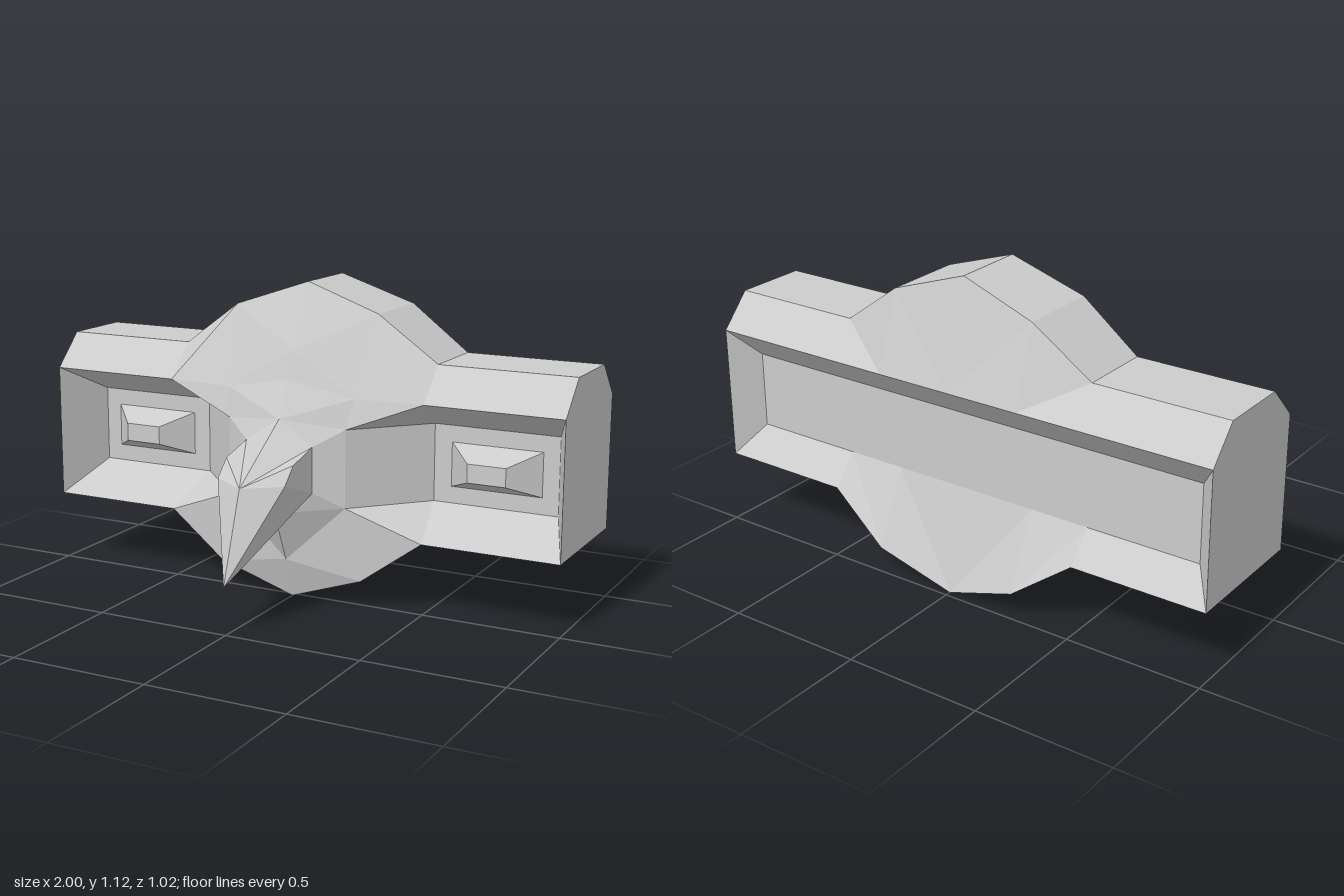
import * as THREE from 'three';

const material = new THREE.MeshStandardMaterial({ color: 0xcccccc, flatShading: true });

// Faceted mesh from polygons on the +x half, mirrored to -x
function mirroredMesh(name, polygons) {
  const pos = [];
  for (const poly of polygons) {
    for (let i = 1; i < poly.length - 1; i++) {
      const [a, b, c] = [poly[0], poly[i], poly[i + 1]];
      pos.push(...a, ...b, ...c);
      for (const p of [a, c, b]) pos.push(-p[0], p[1], p[2]);
    }
  }
  const geo = new THREE.BufferGeometry();
  geo.setAttribute('position', new THREE.Float32BufferAttribute(pos, 3));
  geo.computeVertexNormals();
  const mesh = new THREE.Mesh(geo, material);
  mesh.name = name;
  return mesh;
}

// Underside, grooved back and top: from bottom front, round the back, to top front
function section(x, yBottom, yTop, bulge, grooveX = x) {
  return [
    [x, yBottom, 0.02 + bulge],
    [x, yBottom, -0.48 - bulge * 1.4],
    [grooveX, 0.365, -0.385],
    [grooveX, 0.645, -0.385],
    [x, 0.75, -0.48],
    [x, yTop, -0.37 - bulge * 0.7],
    [x, yTop, -0.1 + bulge * 0.7],
  ];
}

export function createModel() {
  const group = new THREE.Group();

  // Body shell
  const sections = [
    section(0, 0, 1.125, 0),
    section(0.28, 0.1, 1.03, 0.02),
    section(0.5, 0.26, 0.87, 0),
    section(1, 0.26, 0.87, 0, 0.92),
  ];
  const shell = [];
  for (let i = 0; i < sections.length - 1; i++) {
    const s = sections[i], t = sections[i + 1];
    for (let j = 0; j < s.length - 1; j++) shell.push([s[j], s[j + 1], t[j + 1], t[j]]);
  }
  const [center, inner, mid, end] = sections;
  const lipTopEnd = [1, 0.75, 0.02];
  shell.push([end[0], end[1], end[4], end[5], end[6], lipTopEnd]); // end cap
  shell.push([end[1], end[2], end[3], end[4]]); // end of the back groove
  group.add(mirroredMesh('bodyShell', shell));

  // Sunken front panels on the wings
  const lipTop = [0.5, 0.75, 0.02];
  const panelOutLow = [0.92, 0.365, -0.18], panelOutTop = [0.92, 0.645, -0.18];
  const panelInLow = [0.46, 0.365, -0.18], panelInTop = [0.46, 0.645, -0.18];
  const cheekLow = [0.23, 0.365, 0.065], cheekTop = [0.23, 0.645, 0.065];
  const brow = [0.25, 0.75, 0.035];
  group.add(mirroredMesh('frontPanels', [
    [mid[0], end[0], panelOutLow, panelInLow],
    [end[0], lipTopEnd, panelOutTop, panelOutLow],
    [panelInTop, panelOutTop, lipTopEnd, lipTop],
    [panelInLow, panelOutLow, panelOutTop, panelInTop],
    [cheekLow, panelInLow, panelInTop, cheekTop],
    [cheekTop, panelInTop, lipTop, brow],
    [mid[0], panelInLow, cheekLow],
    [lipTop, lipTopEnd, end[6], mid[6]],
  ]));

  // Face between the panels
  const chin = [0, 0.15, 0.07], throat = [0, 0.34, 0.155];
  const beakLow = [0.13, 0.42, 0.12], beakTop = [0.13, 0.585, 0.12];
  const bridge = [0, 0.67, 0.12], forehead = [0, 0.8, 0.055], crown = [0, 0.9, 0.02];
  group.add(mirroredMesh('face', [
    [center[0], inner[0], chin],
    [inner[0], mid[0], cheekLow],
    [chin, inner[0], cheekLow],
    [chin, cheekLow, throat],
    [throat, cheekLow, beakLow],
    [beakLow, cheekLow, cheekTop, beakTop],
    [beakTop, cheekTop, bridge],
    [bridge, cheekTop, brow],
    [bridge, brow, forehead],
    [forehead, brow, crown],
    [crown, brow, inner[6]],
    [brow, lipTop, inner[6]],
    [lipTop, mid[6], inner[6]],
    [crown, inner[6], center[6]],
  ]));

  // Hooked beak
  const ridge = [0, 0.485, 0.4], tip = [0, 0.17, 0.51];
  const sideTop = [0.13, 0.55, 0.26], sideFront = [0.13, 0.49, 0.32];
  group.add(mirroredMesh('beak', [
    [bridge, ridge, beakTop],
    [ridge, sideTop, beakTop],
    [ridge, sideFront, sideTop],
    [ridge, tip, sideFront],
    [beakTop, sideTop, sideFront, beakLow],
    [tip, beakLow, sideFront],
    [throat, beakLow, tip],
  ]));

  // Eyes: blocks tapering to a small front face
  const eyeGeo = new THREE.BoxGeometry(0.335, 0.16, 0.1);
  const p = eyeGeo.attributes.position;
  for (let i = 0; i < p.count; i++) {
    if (p.getZ(i) > 0) p.setXY(i, p.getX(i) * 0.42, p.getY(i) * 0.42);
  }
  eyeGeo.computeVertexNormals();
  for (const side of [-1, 1]) {
    const eye = new THREE.Mesh(eyeGeo, material);
    eye.name = side > 0 ? 'leftEye' : 'rightEye';
    eye.position.set(side * 0.693, 0.505, -0.13);
    group.add(eye);
  }
  return group;
}
